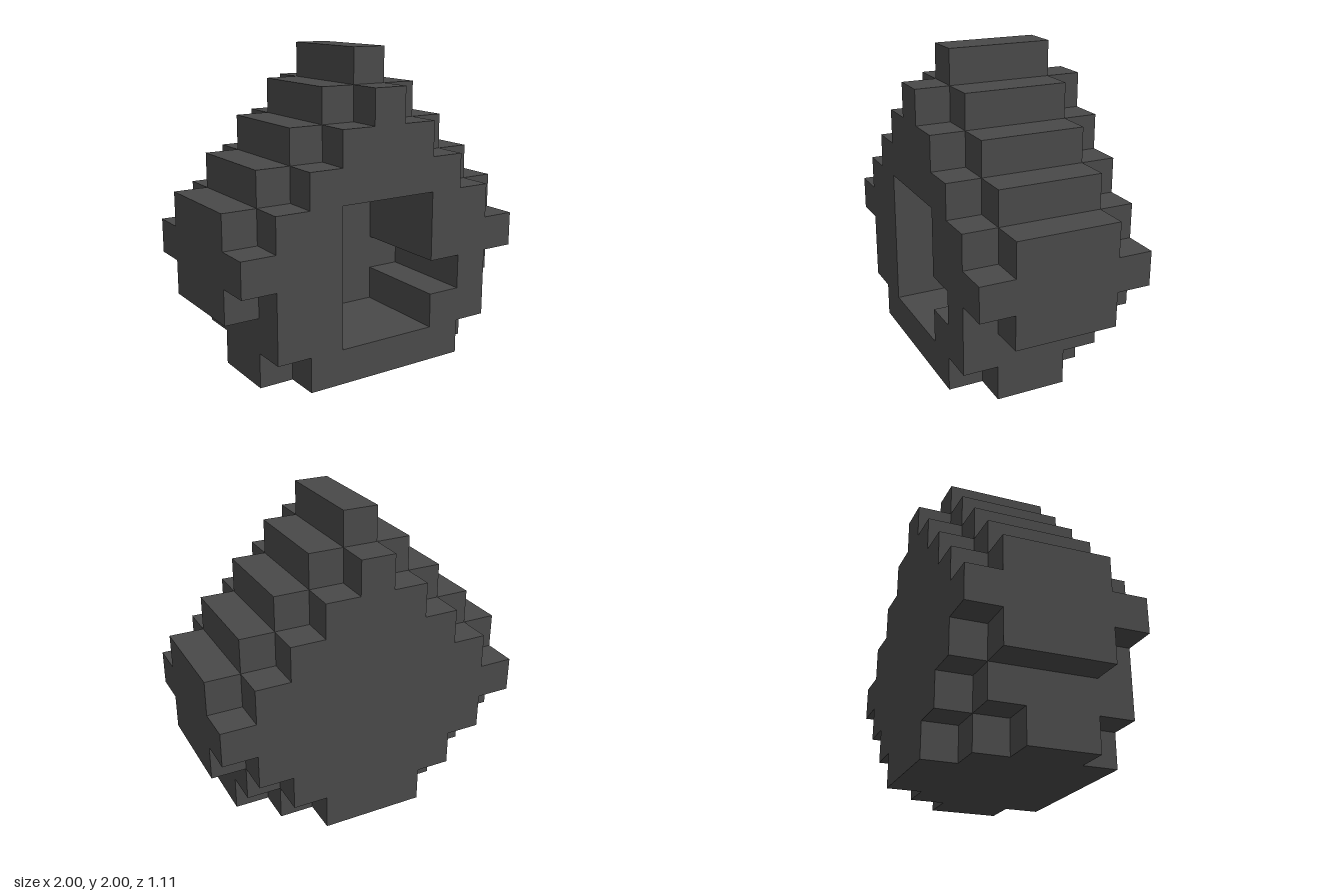
import * as THREE from 'three';

const U = 2 / 9; // edge of one block

export function createModel() {
  const group = new THREE.Group();
  group.name = 'blockHouse';

  const charcoal = new THREE.MeshStandardMaterial({ color: 0x494949 });
  charcoal.name = 'charcoal';

  // Doorway with a one-block niche on its left side
  const doorway = [
    [-1.5, 1], [1.5, 1], [1.5, 2], [2.5, 2], [2.5, 3], [1.5, 3], [1.5, 5], [-1.5, 5],
  ];

  const toPoints = (pts) => pts.map(([x, y]) => new THREE.Vector2(x * U, y * U));

  // One slice of the house: half-widths per row from the ground up, zBack to zFront in blocks
  function addSlice(name, halfWidths, zBack, zFront, hole) {
    const right = [];
    halfWidths.forEach((w, row) => {
      if (w !== halfWidths[row - 1]) right.push([w, row]);
      if (w !== halfWidths[row + 1]) right.push([w, row + 1]);
    });
    const left = right.map(([x, y]) => [-x, y]).reverse();
    const shape = new THREE.Shape(toPoints([...right, ...left]));
    if (hole) shape.holes.push(new THREE.Path(toPoints(hole)));
    const geometry = new THREE.ExtrudeGeometry(shape, {
      depth: (zFront - zBack) * U,
      bevelEnabled: false,
    });
    geometry.translate(0, 0, zBack * U);
    const mesh = new THREE.Mesh(geometry, charcoal);
    mesh.name = name;
    group.add(mesh);
  }

  const upper = [3.5, 4.5, 4.5, 4.5, 3.5, 2.5, 1.5, 0.5]; // body rows above the base, with stepped roof
  addSlice('frontWall', [2.5, 3.5, 3.5, 4.5, 3.5, 2.5, 1.5, 0.5], 1.5, 2.5, doorway);
  addSlice('room', [3.5, ...upper], -0.5, 1.5, doorway);
  addSlice('innerWall', [2.5, ...upper], -1.5, -0.5);
  addSlice('backWall', [1.5, 2.5, 3.5, 4.5, 3.5, 2.5, 1.5, 0.5], -2.5, -1.5);

  return group;
}
